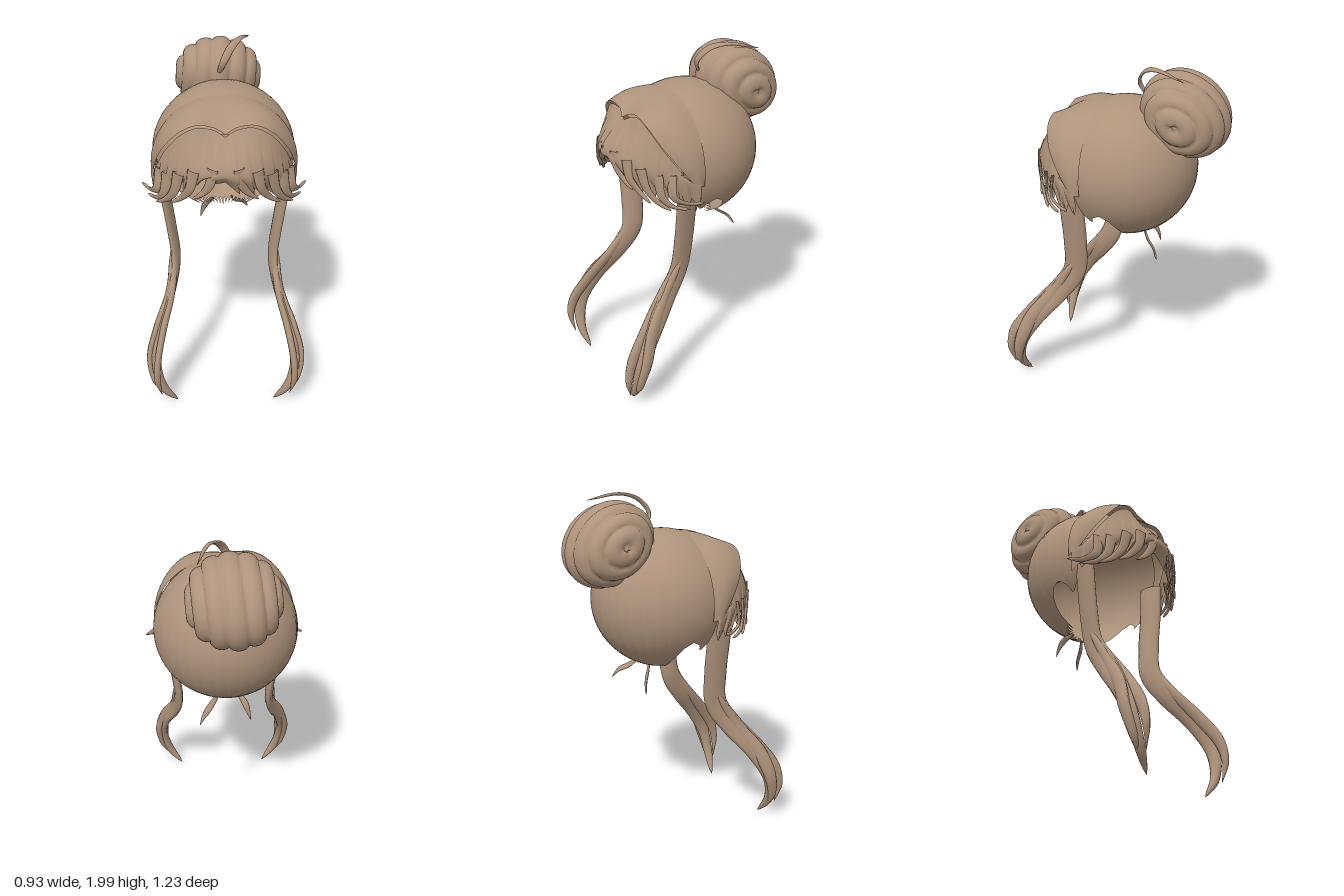
import * as THREE from 'three';

const hair = new THREE.MeshStandardMaterial({ color: 0xae937b, side: THREE.DoubleSide });
hair.name = 'warm brown hair';

const V = (x, y, z) => new THREE.Vector3(x, y, z);
const curve = pts => new THREE.CatmullRomCurve3(pts.map(p => V(...p)));
const fract = t => t - Math.floor(t);

// Surface from a rule f(u, v): u runs sideways, v runs downward
function sheet(name, nu, nv, f, wrap = false) {
  const pos = [], index = [];
  const cols = wrap ? nu : nu + 1;
  for (let j = 0; j <= nv; j++)
    for (let i = 0; i < cols; i++) pos.push(...f(i / nu, j / nv).toArray());
  for (let j = 0; j < nv; j++)
    for (let i = 0; i < nu; i++) {
      const k = (i + 1) % cols;
      const a = j * cols + i, b = j * cols + k, c = a + cols, d = b + cols;
      index.push(a, c, b, b, c, d);
    }
  const g = new THREE.BufferGeometry();
  g.setAttribute('position', new THREE.Float32BufferAttribute(pos, 3));
  g.setIndex(index);
  g.computeVertexNormals();
  const m = new THREE.Mesh(g, hair);
  m.name = name;
  return m;
}

// Flat lock of hair that follows a path; width(t) and thick are half sizes
function lock(name, pts, width, thick, wide, steps = 28) {
  const c = curve(pts), dir = V(...wide);
  return sheet(name, 10, steps, (u, t) => {
    const T = c.getTangent(t);
    const W = dir.clone().addScaledVector(T, -dir.dot(T)).normalize();
    const N = T.clone().cross(W);
    const w = width(t), a = -u * Math.PI * 2;
    return c.getPoint(t).addScaledVector(W, Math.cos(a) * w)
      .addScaledVector(N, Math.sin(a) * Math.min(thick, w));
  }, true);
}

const taper = w => t => w * Math.pow(Math.max(0.001, 1 - t), 0.6);
const wisp = w => t => 0.001 + w * Math.sin(Math.PI * Math.min(1, 0.12 + t * 0.88));
const mirror = (pts, s) => pts.map(([x, y, z]) => [x * s, y, z]);

// Lower rim of the cap: [degrees from the front, height]
const rim = [[0, 1.63], [35, 1.62], [55, 1.45], [68, 1.2], [74, 1.14], [79, 1.19], [87, 1.22],
  [95, 1.19], [101, 1.13], [108, 1.04], [130, 1.03], [180, 1.02]];
function rimHeight(deg) {
  const k = Math.max(1, rim.findIndex(r => r[0] >= deg));
  const [a, ya] = rim[k - 1], [b, yb] = rim[k];
  return ya + (yb - ya) * (deg - a) / (b - a);
}

function scalp() {
  return sheet('scalpCap', 144, 26, (u, v) => {
    const az = u * Math.PI * 2;
    const deg = Math.min(u, 1 - u) * 360;
    let y = rimHeight(deg);
    if (deg > 104) y += 0.025 * (fract(u * 36) - 0.6);
    const ph = v * Math.acos(THREE.MathUtils.clamp((y - 1.4) / 0.4, -1, 1));
    return V(0.41 * Math.sin(ph) * Math.sin(az), 1.4 + 0.4 * Math.cos(ph),
      -0.03 + 0.41 * Math.sin(ph) * Math.cos(az));
  }, true);
}

// Raised front edge, from the parting to the temple
const lip = curve([[0, 1.655, 0.372], [0.06, 1.685, 0.352], [0.15, 1.7, 0.355], [0.24, 1.66, 0.345],
  [0.32, 1.57, 0.305], [0.37, 1.47, 0.24], [0.4, 1.36, 0.16]]);
function lipAt(s) {
  const p = lip.getPoint(Math.min(1, Math.abs(s)));
  p.x *= Math.sign(s);
  return p;
}

function frontBand() {
  return sheet('frontBand', 64, 12, (u, v) => {
    const s = u * 2 - 1, t = s * 1.75;
    const back = V(0.402 * Math.sin(t), 1.4 + 0.38 * Math.cos(t), 0.09);
    const p = back.lerp(lipAt(s), v);
    // bow outward between the crown and the edge
    const out = V(p.x, p.y - 1.4, 0).normalize();
    return p.addScaledVector(out, 0.03 * Math.sin(Math.PI * v) * Math.cos(s * 1.1));
  });
}

function fringe() {
  return sheet('fringe', 160, 18, (u, v) => {
    const s = u * 2 - 1, a = s * 1.4, q = Math.abs(s);
    const tooth = fract(q * 8 + 0.001);
    const top = lipAt(s);
    top.set(top.x * 0.97, top.y - 0.018, top.z * 0.965);
    const mid = V(0.415 * Math.sin(a), 1.46 - 0.11 * q * q, 0.05 + 0.43 * Math.cos(a));
    const c = Math.min(1, Math.abs(s + 0.17 * (1 - q)));
    const yb = 1.265 + 0.19 * Math.pow(1 - c, 1.5) - 0.05 * tooth;
    const ab = a + 0.08 * Math.sin(s * 3);
    const low = V(0.405 * Math.sin(ab), yb, 0.05 + 0.385 * Math.cos(ab));
    const p = new THREE.CatmullRomCurve3([top, mid, low]).getPoint(v);
    // overlapping locks
    const k = 1 + 0.03 * (tooth - 0.5) * v;
    return V(p.x * k, p.y, p.z * k);
  });
}

// Rounded bun with stacked coils, turned to sit on the back of the crown
function bun() {
  const coils = 7;
  const m = sheet('bun', 56, 70, (u, v) => {
    const ph = v * Math.PI, az = u * Math.PI * 2;
    const f = fract(v * coils + 0.22 * Math.sin(az + 0.6));
    const r = 0.95 + 0.09 * Math.pow(Math.sin(Math.PI * f), 0.6);
    const s = Math.pow(Math.sin(ph), 0.85) * r;
    return V(0.245 * Math.cos(ph) * r, 0.207 * s * Math.cos(az), 0.257 * s * Math.sin(az));
  }, true);
  m.rotation.x = -0.63;
  m.position.set(-0.025, 1.74, -0.37);
  return m;
}

export function createModel() {
  const g = new THREE.Group();
  g.name = 'hairstyle';
  g.add(scalp(), frontBand(), fringe(), bun());

  // Loose strand arching over the bun
  g.add(lock('bunStrand', [[-0.03, 1.8, -0.15], [0, 1.89, -0.105], [0.045, 1.965, -0.15],
    [0.1, 1.993, -0.24], [0.16, 1.96, -0.41]], wisp(0.022), 0.008, [1, -0.3, 0]));

  for (const s of [1, -1]) {
    const side = s > 0 ? 'left' : 'right';
    const add = (name, pts, w, th, wide) =>
      g.add(lock(side + name, mirror(pts, s), w, th, [wide[0] * s, wide[1], wide[2]], 36));

    // Long lock in front of the ear, split into strands near the end
    add('LongLock', [[0.355, 1.42, 0.16], [0.335, 1.22, 0.165], [0.305, 1, 0.165], [0.285, 0.8, 0.185],
      [0.315, 0.64, 0.29], [0.375, 0.48, 0.41], [0.405, 0.3, 0.505], [0.37, 0.13, 0.53],
      [0.285, 0.01, 0.51]], t => t < 0.5 ? 0.073 - 0.016 * t : 0.065 * Math.pow(Math.max(0.001, 2 - 2 * t), 0.6),
    0.026, [0.15, 0, 1]);
    add('OuterStrand', [[0.3, 0.85, 0.19], [0.32, 0.66, 0.3], [0.395, 0.48, 0.43], [0.435, 0.32, 0.49],
      [0.41, 0.17, 0.525], [0.35, 0.07, 0.52]], wisp(0.04), 0.022, [0.3, 0, 1]);
    add('FrontStrand', [[0.29, 0.82, 0.21], [0.31, 0.65, 0.33], [0.36, 0.48, 0.465], [0.39, 0.34, 0.56],
      [0.395, 0.22, 0.588], [0.375, 0.1, 0.57]], wisp(0.036), 0.02, [0, 0.4, 1]);

    // Flicked tips of the fringe
    const flicks = [
      [[0.35, 1.42, 0.27], [0.375, 1.3, 0.27], [0.41, 1.265, 0.21], [0.465, 1.272, 0.13]],
      [[0.31, 1.42, 0.33], [0.335, 1.3, 0.32], [0.37, 1.25, 0.28], [0.43, 1.235, 0.2]],
      [[0.25, 1.45, 0.4], [0.275, 1.34, 0.38], [0.32, 1.27, 0.34], [0.38, 1.23, 0.29]],
      [[0.17, 1.48, 0.44], [0.19, 1.38, 0.435], [0.235, 1.31, 0.4], [0.3, 1.26, 0.37]],
      [[0.07, 1.5, 0.46], [0.085, 1.41, 0.455], [0.12, 1.35, 0.435], [0.18, 1.3, 0.41]],
    ];
    flicks.forEach((pts, i) => add('FringeTip' + (i + 1), pts, taper(0.034), 0.009, [1, 0.6, -0.5]));

    // Stray hairs under the nape
    add('NapeWisp', s > 0
      ? [[0.05, 1.03, -0.16], [0.09, 0.985, -0.2], [0.13, 0.95, -0.25], [0.16, 0.9, -0.28]]
      : [[0.06, 1.03, -0.14], [0.1, 0.985, -0.17], [0.12, 0.94, -0.19], [0.14, 0.87, -0.2]],
    wisp(0.018), 0.006, [1, 0.5, 0]);
  }
  return g;
}
